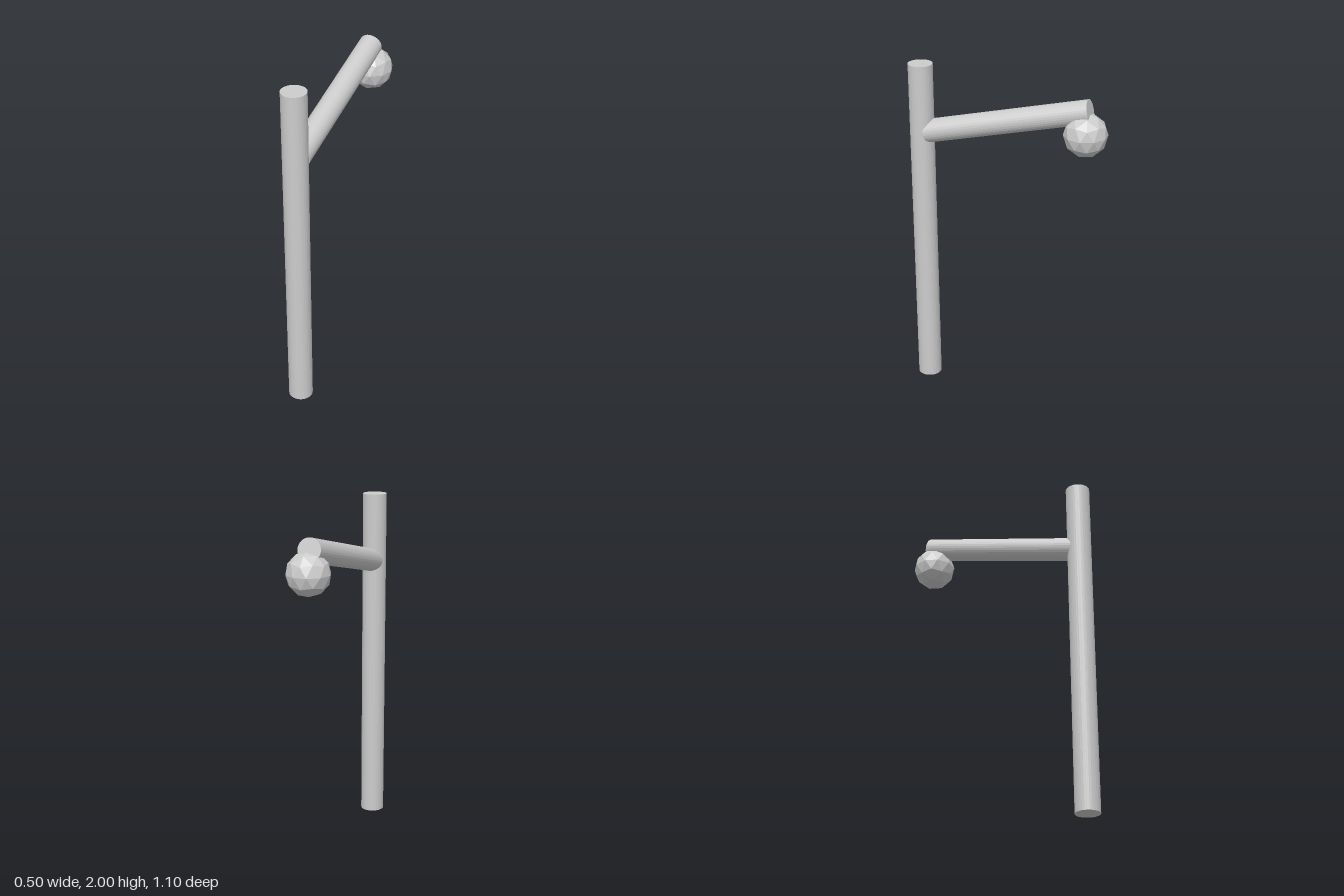
import * as THREE from 'three';

const SIDES = 32;

export function createModel() {
  const model = new THREE.Group();
  const grey = new THREE.MeshStandardMaterial({ color: 0xcccccc });
  grey.name = 'grey';
  grey.flatShading = true;

  // Round bar running between two points
  function bar(name, radius, from, to) {
    const axis = to.clone().sub(from);
    const mesh = new THREE.Mesh(new THREE.CylinderGeometry(radius, radius, axis.length(), SIDES), grey);
    mesh.name = name;
    mesh.position.copy(from).add(to).multiplyScalar(0.5);
    mesh.quaternion.setFromUnitVectors(new THREE.Vector3(0, 1, 0), axis.normalize());
    model.add(mesh);
  }

  // Upright pole and the arm rising towards the back
  bar('pole', 0.07, new THREE.Vector3(-0.18, 0, 0.48), new THREE.Vector3(-0.18, 2, 0.48));
  bar('arm', 0.067, new THREE.Vector3(-0.168, 1.605, 0.452), new THREE.Vector3(0.122, 1.83, -0.45));

  // Faceted lamp globe, turned so that one corner points straight up
  const globe = new THREE.IcosahedronGeometry(0.124, 1);
  globe.rotateX(-Math.atan((1 + Math.sqrt(5)) / 2));
  globe.rotateY(Math.PI / 2);
  globe.computeVertexNormals();
  const lamp = new THREE.Mesh(globe, grey);
  lamp.name = 'lampGlobe';
  lamp.position.set(0.129, 1.698, -0.428);
  model.add(lamp);

  return model;
}
